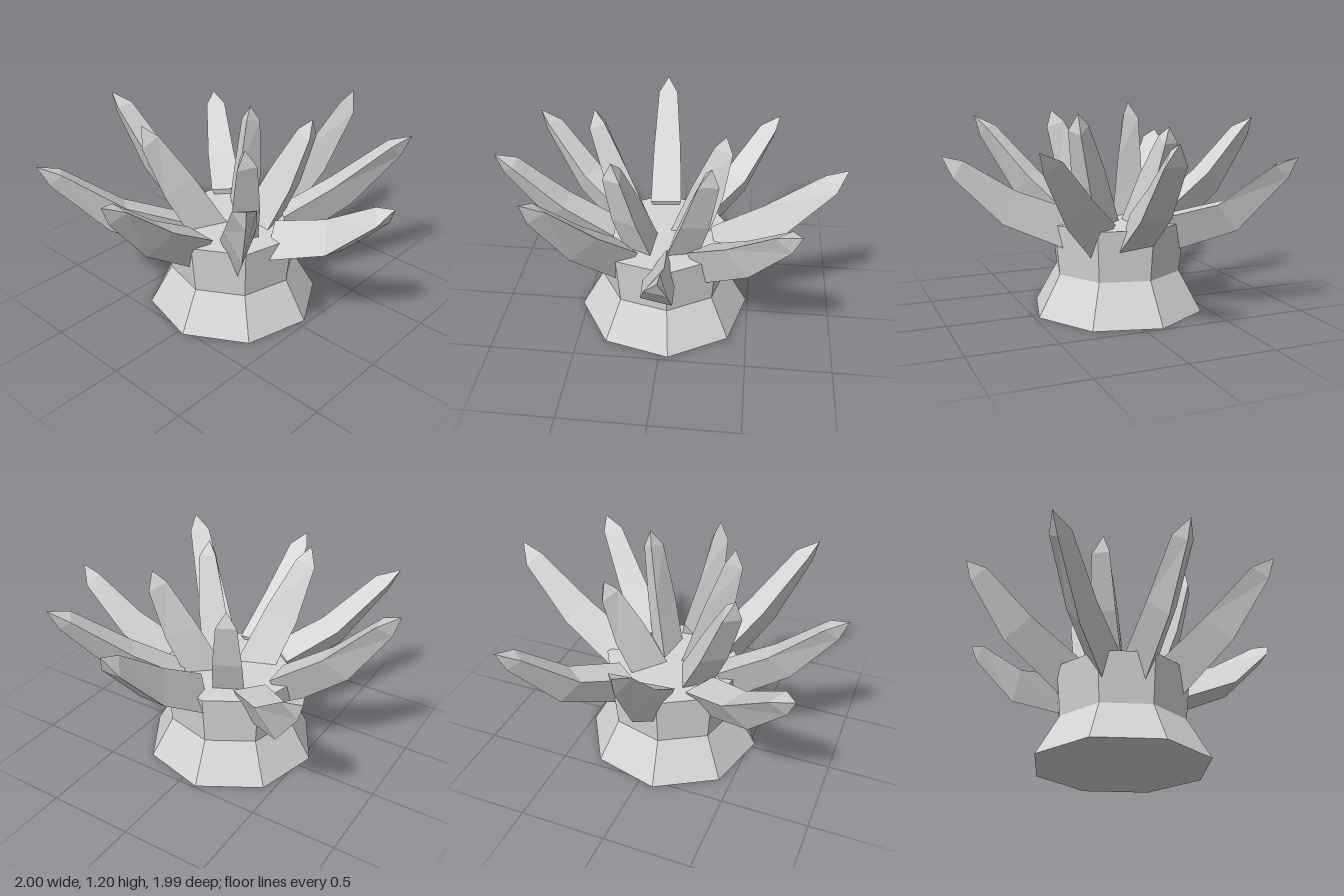
import * as THREE from 'three';

const CENTRE = new THREE.Vector3(-0.035, 0, 0.02);

// Tapered three-sided tentacle: path points, [width, height] per ring, tip closes to a point
function tentacleGeometry(path, sizes, up, roll, rootRise) {
  const pos = [], idx = [];
  for (let i = 0; i < 3; i++) {
    const t = path[i + 1].clone().sub(path[Math.max(i - 1, 0)]);
    if (i === 0) t.y *= rootRise;
    t.normalize();
    const u = up.clone().addScaledVector(t, -up.dot(t)).normalize().applyAxisAngle(t, roll);
    const s = t.clone().cross(u);
    const [w, h] = sizes[i];
    // two corners on the flat face, then the ridge opposite
    for (const [a, b] of [[0.5, 0.5], [0, -0.5], [-0.5, 0.5]]) {
      pos.push(...path[i].clone().addScaledVector(s, a * w).addScaledVector(u, b * h).toArray());
    }
  }
  pos.push(...path[3].toArray());
  for (let j = 0; j < 3; j++) {
    const k = (j + 1) % 3;
    for (let r = 0; r < 6; r += 3) {
      idx.push(r + j, r + k, r + 3 + k, r + j, r + 3 + k, r + 3 + j);
    }
    idx.push(6 + j, 6 + k, 9);
  }
  idx.push(0, 2, 1);
  const g = new THREE.BufferGeometry();
  g.setAttribute('position', new THREE.Float32BufferAttribute(pos, 3));
  g.setIndex(idx);
  const flat = g.toNonIndexed();
  flat.computeVertexNormals();
  return flat;
}

export function createModel() {
  const model = new THREE.Group();
  model.name = 'seaAnemone';
  const grey = new THREE.MeshStandardMaterial({ color: 0xd6d6d6, flatShading: true });
  grey.name = 'stone grey';

  // Eight-sided flared body
  const profile = [[0, 0], [0.515, 0], [0.38, 0.24], [0.41, 0.535], [0, 0.535]]
    .map(([r, y]) => new THREE.Vector2(r, y));
  const body = new THREE.Mesh(new THREE.LatheGeometry(profile, 8, THREE.MathUtils.degToRad(8)), grey);
  body.name = 'body';
  body.position.copy(CENTRE);
  model.add(body);

  // root is [radius, height]; bend is the fraction of the way out and up to the tip
  function addTentacle(name, { tip, root, bend, sizes, ridgeUp, roll, rootRise }) {
    const end = new THREE.Vector3(...tip);
    const out = end.clone().sub(CENTRE).setY(0);
    const reach = out.length();
    out.normalize();
    const at = (r, y) => CENTRE.clone().addScaledVector(out, r).setY(y);
    const mid = at(THREE.MathUtils.lerp(root[0], reach, bend[0]), THREE.MathUtils.lerp(root[1], tip[1], bend[1]));
    const path = [at(...root), mid, mid.clone().lerp(end, 0.77), end];
    // reference direction leans towards the middle of the body
    const up = new THREE.Vector3(0, 1, 0).addScaledVector(out, -1);
    if (ridgeUp) up.negate();
    const mesh = new THREE.Mesh(tentacleGeometry(path, sizes, up, roll, rootRise), grey);
    mesh.name = name;
    model.add(mesh);
  }

  // Outer ring: tip, bend, ridge on top, roll
  const outer = [
    [[0.065, 1.08, -0.995], [0.46, 0.38], true, 0.05],
    [[0.665, 1.035, -0.735], [0.45, 0.37], false, -0.1],
    [[1, 0.96, -0.06], [0.5, 0.35], true, -0.22],
    [[0.66, 1.12, 0.67], [0.46, 0.38], false, 0],
    [[0.005, 1.025, 0.995], [0.48, 0.37], false, -0.08],
    [[-0.69, 0.975, 0.895], [0.46, 0.29], false, 0.15],
    [[-1, 1.105, 0.1], [0.51, 0.39], false, 0],
    [[-0.84, 0.94, -0.645], [0.48, 0.25], false, 0],
  ];
  outer.forEach(([tip, bend, ridgeUp, roll], i) => addTentacle(`outerTentacle${i + 1}`, {
    tip, bend, ridgeUp, roll, rootRise: 0.5,
    root: ridgeUp ? [0.31, 0.51] : [0.325, 0.465],
    sizes: [[0.19, 0.215], [0.17, 0.185], [0.12, 0.1]],
  }));

  // Inner ring of steeper tentacles: tip, roll
  const inner = [
    [[-0.295, 1.195, 0.46], -0.3],
    [[0.285, 1.17, 0.27], 0.2],
    [[0.305, 1.18, -0.265], -0.42],
    [[-0.21, 1.1, -0.32], 0],
  ];
  inner.forEach(([tip, roll], i) => addTentacle(`innerTentacle${i + 1}`, {
    tip, roll, ridgeUp: true, rootRise: 1,
    root: [0.12, 0.47],
    bend: [0.5, 0.48],
    sizes: [[0.19, 0.2], [0.165, 0.18], [0.115, 0.1]],
  }));

  return model;
}
